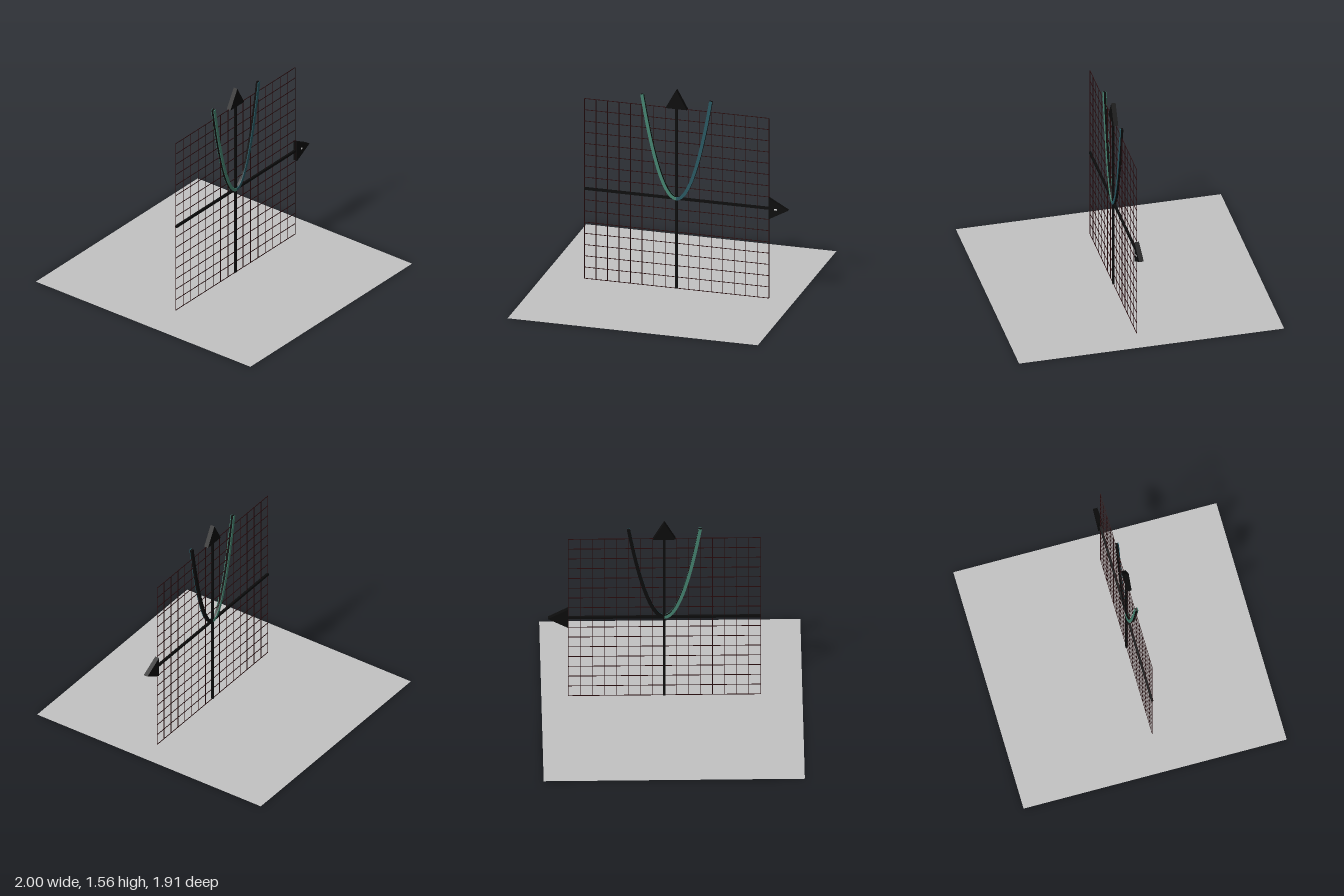
import * as THREE from 'three';

const PLANE_X = 0.064;   // x of the upright graph plane
const ORIGIN_Z = -0.055; // graph origin
const ORIGIN_Y = 0.71;
const HALF = 0.705;      // half the grid's side

const material = (name, color) => {
  const m = new THREE.MeshStandardMaterial({ color });
  m.name = name;
  return m;
};

export function createModel() {
  const black = material('axis black', 0x0c0c0c);
  const maroon = material('grid maroon', 0x260a0c);
  const green = material('curve green', 0x478673);
  const blue = material('curve blue', 0x2a5a64);
  const white = material('mark white', 0xe8e8e8);
  const grey = material('floor grey', 0xc2c2c2);
  grey.side = THREE.DoubleSide;

  const model = new THREE.Group();
  model.name = 'parabolaGraph';
  const add = (name, geometry, mat, x = 0, y = 0, z = 0, parent = model) => {
    const mesh = new THREE.Mesh(geometry, mat);
    mesh.name = name;
    mesh.position.set(x, y, z);
    parent.add(mesh);
    return mesh;
  };
  const box = (w, h, d) => new THREE.BoxGeometry(w, h, d);

  // Extrudes an outline of [z, y] points along x, centred on x = 0
  const slab = (points, thickness) => {
    const shape = new THREE.Shape(points.map(([z, y]) => new THREE.Vector2(-z, y)));
    return new THREE.ExtrudeGeometry(shape, { depth: thickness, bevelEnabled: false })
      .translate(0, 0, -thickness / 2)
      .rotateY(Math.PI / 2);
  };

  // Floor sheet
  const floor = new THREE.PlaneGeometry(2, 1.912).rotateX(-Math.PI / 2);
  add('floor', floor, grey, 0, 0.002, 0);

  // Grid of thin lines
  const grid = new THREE.Group();
  grid.name = 'grid';
  model.add(grid);
  const line = 0.004;
  for (let i = 0; i <= 16; i++) {
    const s = -HALF + (i * 2 * HALF) / 16;
    add('verticalGridLine', box(line, 2 * HALF, line), maroon, PLANE_X, ORIGIN_Y, ORIGIN_Z + s, grid);
    add('horizontalGridLine', box(line, line, 2 * HALF), maroon, PLANE_X, ORIGIN_Y + s, ORIGIN_Z, grid);
  }

  // Axes with flat arrowheads
  add('verticalAxis', box(0.016, 2 * HALF, 0.018), black, PLANE_X, ORIGIN_Y, ORIGIN_Z);
  add('horizontalAxis', box(0.016, 0.018, 2 * HALF), black, PLANE_X, ORIGIN_Y, ORIGIN_Z);
  const head = () => slab([[0.082, 0], [-0.082, 0], [0, 0.148]], 0.034);
  add('verticalArrowhead', head(), black, PLANE_X, ORIGIN_Y + HALF, ORIGIN_Z);
  const side = add('horizontalArrowhead', head(), black, PLANE_X, ORIGIN_Y, ORIGIN_Z - HALF);
  side.rotation.x = -Math.PI / 2;
  add('arrowheadMark', box(0.002, 0.012, 0.02), white, PLANE_X + 0.018, ORIGIN_Y, -0.815);

  // Outline of one parabola arm with even stroke width; dir is the sign of z
  const arm = (dir) => {
    const outer = [], inner = [];
    const reach = 0.263, rise = 0.79, half = 0.0115;
    for (let i = 0; i <= 28; i++) {
      const t = (reach * i) / 28;
      const slope = (2 * rise * t) / reach ** 2;
      const y = rise * (t / reach) ** 2;
      const k = half / Math.hypot(1, slope);
      outer.push([dir * (t + slope * k), y - k]);
      inner.push([dir * (t - slope * k), y + k]);
    }
    return [...outer, ...inner.reverse()];
  };

  // Dark core of each arm with coloured face plates
  const curve = new THREE.Group();
  curve.name = 'parabola';
  curve.position.set(PLANE_X + 0.001, ORIGIN_Y, ORIGIN_Z);
  model.add(curve);
  for (const dir of [1, -1]) {
    add('curveCore', slab(arm(dir), 0.017), black, 0, 0, 0, curve);
    add('curveFace', slab(arm(dir), 0.005), dir > 0 ? green : blue, 0.011, 0, 0, curve);
  }
  add('curveBackFace', slab(arm(1), 0.004), green, -0.0105, 0, 0, curve);

  return model;
}
